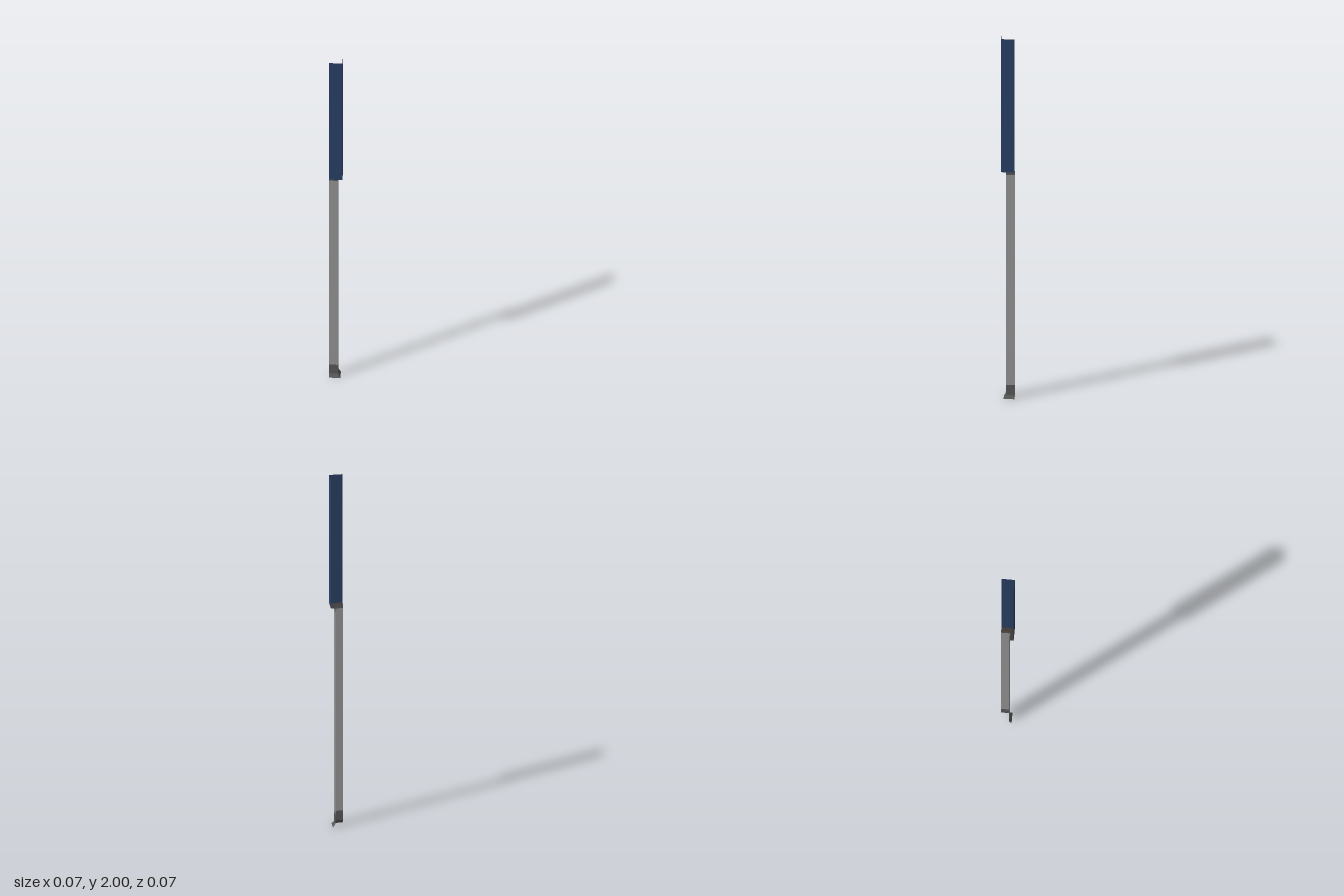
import * as THREE from 'three';

const BACK = -0.035; // open ends of both wall wings

// Thin L-shaped wall swept along a profile of [offset, height] points, bottom to top
function cornerWall(name, profile, material) {
  const positions = [];
  const index = [];
  const quad = (a, b, c, d) => {
    const n = positions.length / 3;
    positions.push(...a, ...b, ...c, ...d);
    index.push(n, n + 1, n + 2, n, n + 2, n + 3);
  };
  for (let i = 0; i < profile.length - 1; i++) {
    const [d0, y0] = profile[i];
    const [d1, y1] = profile[i + 1];
    // front wing
    quad([BACK, y0, d0], [d0, y0, d0], [d1, y1, d1], [BACK, y1, d1]);
    // side wing
    quad([d0, y0, d0], [d0, y0, BACK], [d1, y1, BACK], [d1, y1, d1]);
  }
  const geometry = new THREE.BufferGeometry();
  geometry.setAttribute('position', new THREE.Float32BufferAttribute(positions, 3));
  geometry.setIndex(index);
  geometry.computeVertexNormals();
  const mesh = new THREE.Mesh(geometry, material);
  mesh.name = name;
  return mesh;
}

function paint(name, color) {
  const material = new THREE.MeshStandardMaterial({ color, side: THREE.DoubleSide });
  material.name = name;
  return material;
}

export function createModel() {
  const blue = paint('navy blue', 0x2b4268);
  const grey = paint('light grey', 0x999999);
  const darkGrey = paint('dark grey', 0x5a5a5a);
  const brown = paint('dark brown', 0x403838);

  const inner = 0.012;
  const outer = 0.035;
  const ledgeY = 1.262;

  const group = new THREE.Group();
  group.name = 'wallCorner';
  group.add(
    // foot with a small flare at the ground
    cornerWall('foot', [[0.024, 0], [inner, 0.02], [inner, 0.075]], darkGrey),
    // tall lower wall
    cornerWall('lowerWall', [[inner, 0.075], [inner, 1.24]], grey),
    // trim just below the overhang
    cornerWall('trim', [[inner, 1.24], [inner, ledgeY]], darkGrey),
    // underside of the overhang
    cornerWall('overhangLedge', [[inner, ledgeY], [outer, ledgeY]], brown),
    // projecting upper panel
    cornerWall('upperPanel', [[outer, ledgeY], [outer, 2]], blue),
  );
  return group;
}
